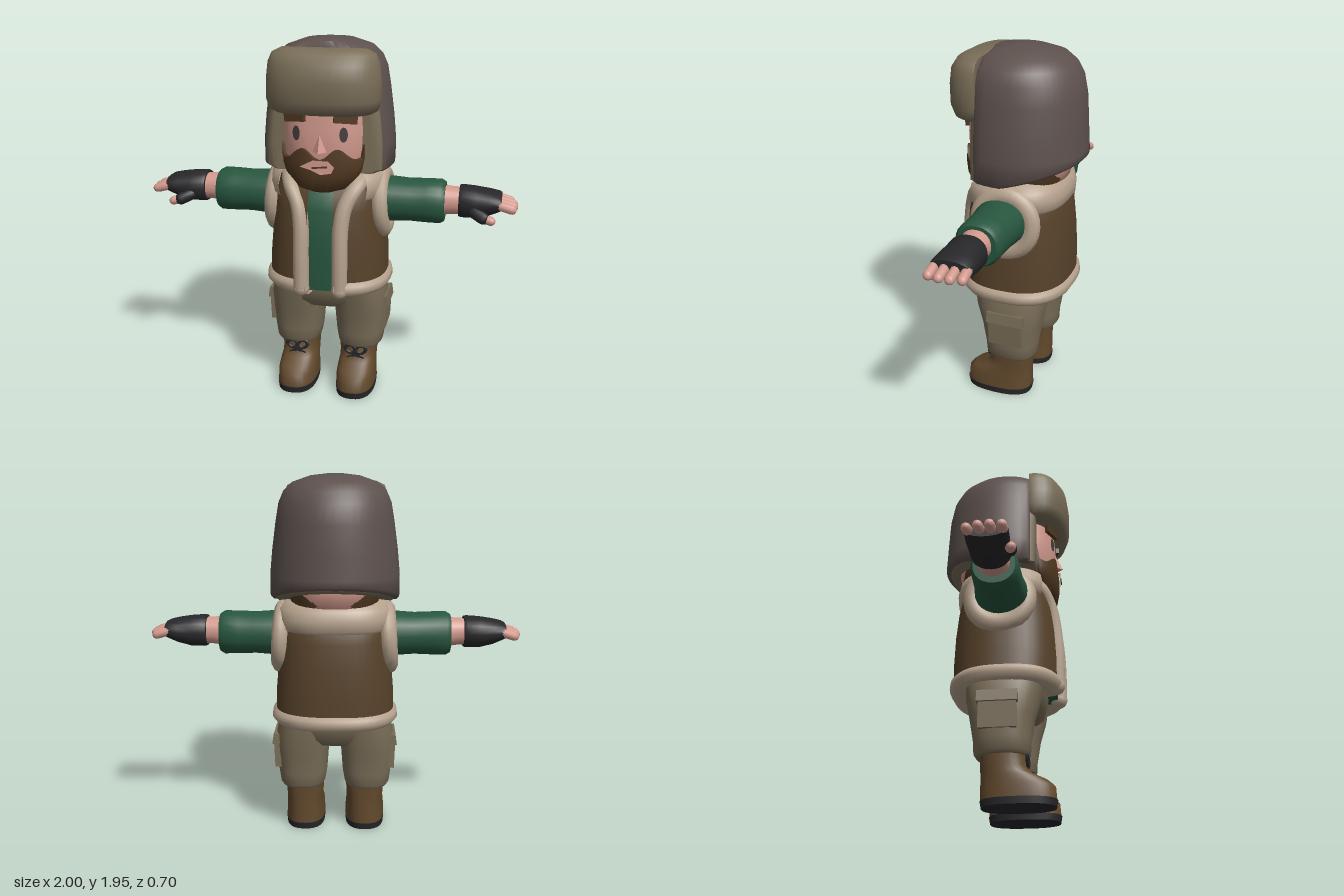
import * as THREE from 'three';
import { toCreasedNormals } from 'three/addons/utils/BufferGeometryUtils.js';

const material = (name, color, side = THREE.FrontSide) => {
  const m = new THREE.MeshStandardMaterial({ color, side });
  m.name = name;
  return m;
};

// Rings [y, rx, rz, cx, cz] of superellipses, stacked upwards and capped; arc in degrees, front at 90.
function loft(rings, { n = 32, arc = [0, 360], exp = 2.5, bend } = {}) {
  const pos = [], index = [], w = n + 1;
  const pow = (v) => Math.sign(v) * Math.abs(v) ** (2 / exp);
  const put = (x, y, z) => {
    const p = new THREE.Vector3(x, y, z);
    if (bend) bend(p);
    pos.push(p.x, p.y, p.z);
  };
  for (const [y, rx, rz, cx = 0, cz = 0] of rings) {
    for (let j = 0; j <= n; j++) {
      const a = THREE.MathUtils.degToRad(arc[0] + ((arc[1] - arc[0]) * j) / n);
      put(cx + rx * pow(Math.cos(a)), y, cz + rz * pow(Math.sin(a)));
    }
  }
  const top = rings.length - 1, c = rings.length * w;
  for (const [y, , , cx = 0, cz = 0] of [rings[0], rings[top]]) put(cx, y, cz);
  for (let j = 0; j < n; j++) {
    for (let i = 0; i < top; i++) {
      const a = i * w + j, b = a + w;
      index.push(a, b, a + 1, b, b + 1, a + 1);
    }
    index.push(c, j, j + 1, c + 1, top * w + j + 1, top * w + j);
  }
  const g = new THREE.BufferGeometry();
  g.setAttribute('position', new THREE.Float32BufferAttribute(pos, 3));
  g.setIndex(index);
  return g;
}

// Reflects a non-indexed geometry in x and restores the corner order.
function mirrored(geo) {
  const g = geo.clone().scale(-1, 1, 1);
  for (const key of ['position', 'normal']) {
    const { array } = g.attributes[key];
    for (let i = 0; i < array.length; i += 9) {
      for (let k = 3; k < 6; k++) [array[i + k], array[i + k + 3]] = [array[i + k + 3], array[i + k]];
    }
  }
  return g;
}

// Capsule between two points.
function capsule(a, b, r) {
  const p = new THREE.Vector3(...a), d = new THREE.Vector3(...b).sub(p);
  const g = new THREE.CapsuleGeometry(r, d.length(), 4, 10);
  g.applyQuaternion(new THREE.Quaternion().setFromUnitVectors(new THREE.Vector3(0, 1, 0), d.clone().normalize()));
  return g.translate(p.x + d.x / 2, p.y + d.y / 2, p.z + d.z / 2);
}

export function createModel() {
  const model = new THREE.Group();
  model.name = 'trapperFigure';
  const hat = material('hat brown grey', 0x5d514d);
  const khaki = material('khaki', 0x7a6e58);
  const skin = material('skin', 0xd39a8e);
  const fleece = material('fleece', 0xb7a38e, THREE.DoubleSide);
  const green = material('shirt green', 0x28563f);
  const leather = material('vest brown', 0x57422a, THREE.DoubleSide);
  const bootBrown = material('boot brown', 0x634a2d);
  const hair = material('hair brown', 0x513921, THREE.DoubleSide);
  const black = material('black', 0x27272a);
  const eyeGrey = material('eye grey', 0x453e3e);

  const add = (name, geo, mat, pair = false) => {
    const g = toCreasedNormals(geo, 0.9);
    const mesh = new THREE.Mesh(g, mat);
    mesh.name = pair ? name + 'Left' : name;
    model.add(mesh);
    if (pair) {
      const twin = new THREE.Mesh(mirrored(g), mat);
      twin.name = name + 'Right';
      model.add(twin);
    }
  };

  // Boots
  add('sole', loft([[0, 0.107, 0.185, 0.167, 0.07], [0.035, 0.11, 0.191, 0.167, 0.07]]), black, true);
  add('boot', loft([
    [0.034, 0.108, 0.187, 0.167, 0.07], [0.1, 0.107, 0.185, 0.167, 0.067], [0.13, 0.104, 0.168, 0.167, 0.05],
    [0.165, 0.101, 0.13, 0.167, 0.012], [0.2, 0.102, 0.116, 0.167, -0.003], [0.285, 0.108, 0.12, 0.167, -0.005],
  ]), bootBrown, true);
  for (const s of [-1, 1]) {
    const loop = new THREE.TorusGeometry(0.024, 0.009, 6, 14).scale(1.2, 0.9, 0.8);
    add('laceLoop', loop.rotateZ(s * 0.35).translate(0.167 + s * 0.03, 0.235, 0.116), black, true);
    add('lace', new THREE.BoxGeometry(0.1, 0.012, 0.009).rotateZ(s * 0.35).translate(0.167, 0.2, 0.116), black, true);
  }

  // Trousers
  add('hips', loft([[0.5, 0.2, 0.15], [0.54, 0.28, 0.185], [0.6, 0.3, 0.205], [0.67, 0.3, 0.215]]), khaki);
  add('trouserLeg', loft([
    [0.25, 0.112, 0.13, 0.178, -0.01], [0.268, 0.124, 0.142, 0.178, -0.01], [0.33, 0.134, 0.145, 0.177, -0.01],
    [0.45, 0.143, 0.165, 0.177, -0.01], [0.55, 0.15, 0.19, 0.172, -0.005], [0.63, 0.14, 0.2, 0.165, 0],
  ]), khaki, true);
  add('pocket', new THREE.BoxGeometry(0.035, 0.17, 0.19, 2, 2, 2).rotateZ(-0.04).translate(0.312, 0.45, -0.02), khaki, true);
  add('pocketFlap', new THREE.BoxGeometry(0.04, 0.06, 0.205).rotateZ(0.15).translate(0.317, 0.525, -0.02), khaki, true);

  // Shirt and vest
  add('shirt', loft([
    [0.64, 0.29, 0.262], [0.8, 0.295, 0.268], [0.95, 0.285, 0.263], [1.08, 0.275, 0.248], [1.17, 0.25, 0.22], [1.23, 0.17, 0.15],
  ]), green);
  const open = [99, 441];
  add('vest', loft([
    [0.67, 0.322, 0.286], [0.8, 0.319, 0.286], [0.95, 0.306, 0.28], [1.08, 0.3, 0.266], [1.16, 0.295, 0.25], [1.25, 0.26, 0.2],
  ], { arc: open, n: 40 }), leather);
  add('vestHem', loft([
    [0.612, 0.29, 0.255], [0.622, 0.322, 0.288], [0.65, 0.344, 0.305], [0.68, 0.34, 0.302], [0.7, 0.318, 0.284],
  ], { arc: open, n: 40 }), fleece);
  add('collar', loft([
    [1.13, 0.29, 0.252], [1.15, 0.306, 0.268], [1.2, 0.315, 0.272], [1.25, 0.305, 0.26], [1.285, 0.27, 0.225], [1.3, 0.22, 0.18],
  ], { arc: [134, 406], n: 40 }), fleece);
  const edge = new THREE.CatmullRomCurve3([
    [0.104, 0.65, 0.266], [0.104, 0.85, 0.266], [0.106, 1, 0.255], [0.125, 1.11, 0.232], [0.175, 1.2, 0.18], [0.21, 1.25, 0.06],
  ].map((p) => new THREE.Vector3(...p)));
  add('vestFrontTrim', new THREE.TubeGeometry(edge, 28, 0.043, 10), fleece, true);
  add('vestTrimEnd', new THREE.SphereGeometry(0.045, 12, 8).translate(0.104, 0.65, 0.264), fleece, true);
  add('armholeTrim', new THREE.TorusGeometry(0.142, 0.052, 10, 28).rotateY(Math.PI / 2)
    .scale(0.9, 1.04, 1).rotateZ(0.06).translate(0.288, 1.083, -0.012), fleece, true);

  // Arms: lofts laid along x, with the ring's x as minus the height
  const limb = (name, rings, mat) =>
    add(name, loft(rings.map(([d, ry, rz, y]) => [d, ry, rz, -y, 0]), { n: 24, exp: 2.2 }).rotateZ(-Math.PI / 2), mat, true);
  limb('sleeve', [
    [0.22, 0.12, 0.135, 1.1], [0.34, 0.118, 0.138, 1.1], [0.43, 0.112, 0.126, 1.1],
    [0.52, 0.116, 0.122, 1.1], [0.6, 0.117, 0.12, 1.1], [0.622, 0.104, 0.106, 1.1],
  ], green);
  limb('wrist', [[0.6, 0.08, 0.082, 1.108], [0.66, 0.073, 0.074, 1.11], [0.73, 0.07, 0.075, 1.11]], skin);
  limb('glove', [
    [0.695, 0.082, 0.092, 1.11], [0.71, 0.086, 0.1, 1.11], [0.78, 0.083, 0.1, 1.108],
    [0.85, 0.068, 0.105, 1.112], [0.9, 0.05, 0.105, 1.118], [0.915, 0.042, 0.1, 1.118],
  ], black);
  [0.968, 0.975, 0.973, 0.958].forEach((x, i) => {
    const z = 0.08 - i * 0.054;
    add('finger', capsule([0.9, 1.118, z], [x, 1.1, z * 1.02], 0.025), skin, true);
  });
  add('thumbGlove', capsule([0.775, 1.075, 0.08], [0.825, 1.052, 0.105], 0.033), black, true);
  add('thumb', capsule([0.82, 1.053, 0.1], [0.866, 1.042, 0.113], 0.024), skin, true);

  // Head
  add('neck', loft([[1.1, 0.12, 0.12], [1.28, 0.12, 0.12]]), skin);
  add('head', loft([
    [1.23, 0.15, 0.2], [1.27, 0.205, 0.25], [1.35, 0.235, 0.268], [1.5, 0.242, 0.272], [1.65, 0.235, 0.26],
  ], { exp: 2.6, n: 40 }), skin);
  add('backHair', loft([[1.21, 0.19, 0.16, 0, -0.05], [1.28, 0.235, 0.2, 0, -0.05], [1.5, 0.246, 0.21, 0, -0.05]]), hair);

  // Beard: the upper edge waves into a moustache, the lower edge rises towards the ears
  add('beard', loft([
    [1.18, 0.1, 0.24], [1.2, 0.165, 0.275], [1.28, 0.232, 0.287], [1.35, 0.248, 0.289], [1.42, 0.25, 0.284],
  ], {
    arc: [12, 168], n: 48, exp: 2.6,
    bend: (p) => {
      const t = (p.y - 1.18) / 0.24;
      const edgeY = p.z < 0.19 ? 1.43 : 1.385 - 0.03 * Math.cos((Math.PI * 2 * p.x) / 0.19);
      p.y += t * t * (edgeY - 1.42) + 0.45 * Math.max(0, 0.22 - p.z) * (1 - t);
    },
  }), hair);

  // Facial details
  const mouth = new THREE.Shape([
    [-0.1, 1.325], [-0.03, 1.362], [0.05, 1.36], [0.08, 1.33], [0.065, 1.298], [0.01, 1.288], [-0.04, 1.31],
  ].map((p) => new THREE.Vector2(...p)));
  const lip = new THREE.ShapeGeometry(mouth), lp = lip.attributes.position;
  for (let i = 0; i < lp.count; i++) lp.setZ(i, 0.297 - 0.9 * lp.getX(i) ** 2);
  add('mouth', lip, skin);
  add('mouthLine', new THREE.BoxGeometry(0.08, 0.008, 0.006).rotateZ(0.1).translate(0.005, 1.327, 0.298), hair);
  add('nose', new THREE.ConeGeometry(0.045, 0.11, 4, 1).scale(0.9, 1, 1.1).translate(0, 1.455, 0.262), skin);
  add('eye', new THREE.CircleGeometry(0.022, 16).scale(1, 1.75, 1).rotateY(0.38).translate(0.122, 1.492, 0.262), eyeGrey, true);
  add('brow', new THREE.BoxGeometry(0.12, 0.04, 0.02).rotateZ(-0.1).rotateY(0.38).translate(0.13, 1.57, 0.256), hair, true);

  // Fur hat: the shell is cut flat in front, the lining shows as ear flaps
  const cut = (front) => (p) => {
    p.z = Math.min(p.z, front);
    if (p.y < 1.35) p.y += 0.09 * THREE.MathUtils.clamp(-p.z / 0.33, 0, 1);
  };
  add('hatShell', loft([
    [1.285, 0.33, 0.335], [1.3, 0.346, 0.35], [1.42, 0.347, 0.348], [1.55, 0.335, 0.342], [1.7, 0.315, 0.334],
    [1.8, 0.298, 0.315], [1.86, 0.272, 0.282], [1.905, 0.225, 0.23], [1.938, 0.13, 0.14], [1.95, 0.03, 0.03],
  ], { exp: 2.1, n: 48, bend: cut(0.152) }), hat);
  add('hatLining', loft([
    [1.276, 0.3, 0.315], [1.295, 0.335, 0.335], [1.42, 0.336, 0.336], [1.55, 0.325, 0.33], [1.68, 0.305, 0.315],
  ], { exp: 2.1, n: 48, bend: cut(0.18) }), khaki);
  add('hatBrim', loft([
    [1.588, 0.25, 0.13, 0, 0.16], [1.605, 0.28, 0.17, 0, 0.16], [1.66, 0.297, 0.192, 0, 0.16], [1.76, 0.294, 0.195, 0, 0.16],
    [1.84, 0.284, 0.185, 0, 0.16], [1.885, 0.265, 0.155, 0, 0.16], [1.908, 0.22, 0.11, 0, 0.16],
  ], { exp: 2.4, n: 40, bend: (p) => { p.z = Math.max(p.z, 0.148); } }), khaki);

  return model;
}
